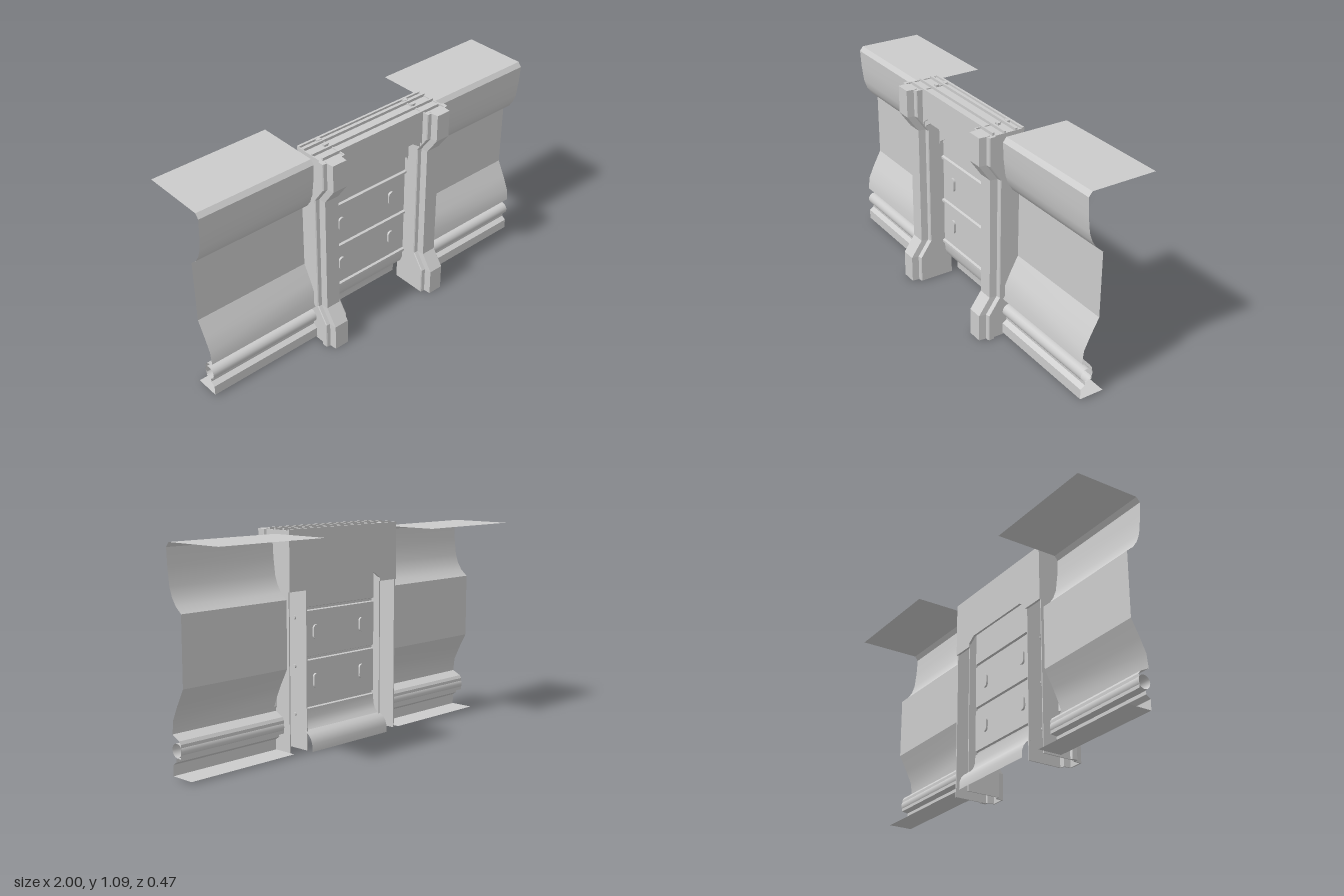
import * as THREE from 'three';
import { toCreasedNormals } from 'three/addons/utils/BufferGeometryUtils.js';

const metal = new THREE.MeshStandardMaterial({ color: 0xcccccc, side: THREE.DoubleSide });

export function createModel() {
  const root = new THREE.Group();

  function add(name, geometry, x = 0, y = 0, z = 0) {
    const mesh = new THREE.Mesh(geometry, metal);
    mesh.name = name;
    mesh.position.set(x, y, z);
    root.add(mesh);
    return mesh;
  }

  // Folded sheet: a [z, y] profile swept from x0 to x1
  function sheet(profile, x0, x1) {
    const pos = [];
    for (let i = 0; i < profile.length - 1; i++) {
      const [za, ya] = profile[i], [zb, yb] = profile[i + 1];
      pos.push(x0, ya, za, x0, yb, zb, x1, yb, zb);
      pos.push(x0, ya, za, x1, yb, zb, x1, ya, za);
    }
    const g = new THREE.BufferGeometry();
    g.setAttribute('position', new THREE.Float32BufferAttribute(pos, 3));
    g.computeVertexNormals();
    return toCreasedNormals(g, 0.45);
  }

  const toShape = pts => new THREE.Shape(pts.map(([x, y]) => new THREE.Vector2(x, y)));
  const plate = (pts, depth) =>
    new THREE.ExtrudeGeometry(toShape(pts), { depth, bevelEnabled: false });

  // Header plate with a chamfered opening in its lower edge
  const arch = (w, top, bottom, open, half) => [
    [-w, top], [-w, bottom], [-half, bottom], [-half, open - 0.03], [-half + 0.045, open],
    [half - 0.045, open], [half, open - 0.03], [half, bottom], [w, bottom], [w, top],
  ];

  // Side wall panels
  const wallProfile = [
    [-0.235, 1.06], [0.1, 1.06], [0.118, 1.037], [0.113, 0.95], [0.102, 0.865],
    [0.086, 0.82], [0.062, 0.784], [0.025, 0.752], [0.025, 0.42], [0.07, 0.335],
    [0.1, 0.27], [0.108, 0.203], [0.06, 0.18], [0.05, 0.165], [0.05, 0.1],
    [0.085, 0.095], [0.085, 0.078], [0.108, 0.062], [0.108, 0.01], [-0.02, 0.01],
  ];
  for (const s of [-1, 1]) {
    add('wallPanel', sheet(wallProfile, s * 0.377, s));
    const tube = new THREE.CylinderGeometry(0.033, 0.033, 0.62, 20, 1, true);
    add('wallTube', tube.rotateZ(Math.PI / 2), s * 0.69, 0.133, 0.078);
  }

  // Pillars: channels open at the back, cranked forward at foot and head
  const levels = [[0, 0], [0.14, 0], [0.225, -0.06], [0.855, -0.06], [0.94, 0], [1.08, 0]];
  const section = [
    [0.377, 0.01], [0.377, 0.16], [0.388, 0.165], [0.388, 0.192], [0.384, 0.196],
    [0.366, 0.198], [0.362, 0.235], [0.284, 0.235], [0.28, 0.198], [0.261, 0.196],
    [0.257, 0.192], [0.257, 0.01], [0.263, 0.01], [0.263, 0.188], [0.286, 0.192],
    [0.29, 0.228], [0.356, 0.228], [0.36, 0.192], [0.371, 0.188], [0.371, 0.01],
  ];
  for (const s of [-1, 1]) {
    const shape = toShape(section.map(([x, z]) => [s * x, -z]));
    const g = new THREE.ExtrudeGeometry(shape, { depth: 5, steps: 5, bevelEnabled: false });
    g.rotateX(-Math.PI / 2);
    const p = g.attributes.position;
    for (let i = 0; i < p.count; i++) {
      const [y, shift] = levels[Math.round(p.getY(i))];
      const z = p.getZ(i);
      p.setXYZ(i, p.getX(i), y, z > 0.05 ? z + shift : z);
    }
    g.computeVertexNormals();
    add('pillar', g);

    // Head cap
    add('pillarCap', new THREE.BoxGeometry(0.076, 0.006, 0.055), s * 0.323, 1.077, 0.206);
    add('pillarCapBase', new THREE.BoxGeometry(0.114, 0.006, 0.04), s * 0.317, 1.07, 0.172);

    // Bolts inside the channel
    for (const y of [0.17, 0.41, 0.65]) {
      const bolt = new THREE.CylinderGeometry(0.01, 0.01, 0.008, 10).rotateZ(Math.PI / 2);
      add('channelBolt', bolt, s * 0.267, y, 0.09);
    }
  }

  // Header box between and behind the pillar heads
  add('headerFront', plate(arch(0.36, 1.088, 0.9, 0.94, 0.255), 0.01), 0, 0, 0.153);
  add('headerFrontLip', plate(arch(0.26, 1.0, 0.88, 0.917, 0.252), 0.01), 0, 0, 0.142);
  add('headerBack', plate(arch(0.377, 1.085, 0.79, 0.838, 0.255), 0.012), 0, 0, 0.003);
  add('headerBackLip', plate(arch(0.26, 0.9, 0.77, 0.812, 0.252), 0.012), 0, 0, 0.06);
  add('headerSoffit', sheet([[0.065, 0.84], [0.072, 0.92], [0.142, 0.94]], -0.255, 0.255));
  add('headerTop', new THREE.BoxGeometry(0.75, 0.01, 0.15), 0, 1.07, 0.085);
  for (const z of [0.045, 0.105]) {
    add('headerRib', new THREE.BoxGeometry(0.75, 0.02, 0.01), 0, 1.079, z);
  }
  for (const s of [-1, 1]) {
    for (const z of [0.025, 0.075]) {
      const stud = new THREE.BoxGeometry(0.025, 0.014, 0.016);
      add('headerStud', stud, s * 0.27, 1.079, z);
    }
  }

  // Centre panel with horizontal beads and a foot that sweeps backward
  const panelProfile = [[0.05, 0.9]];
  for (const y of [0.69, 0.445, 0.205]) {
    panelProfile.push([0.05, y + 0.01], [0.062, y + 0.006], [0.062, y - 0.006], [0.05, y - 0.01]);
  }
  panelProfile.push([0.047, 0.15], [0.036, 0.12], [0.018, 0.1]);
  add('centrePanel', sheet(panelProfile, -0.257, 0.257));
  const apron = [[0.018, 0.1], [-0.008, 0.085], [-0.025, 0.065], [-0.034, 0.04], [-0.035, 0.002]];
  add('apron', sheet(apron, -0.27, 0.27));

  // Rounded slot covers, raised on both faces
  const slot = new THREE.Shape();
  slot.absarc(0, 0.019, 0.018, 0, Math.PI);
  slot.absarc(0, -0.019, 0.018, Math.PI, Math.PI * 2);
  slot.closePath();
  const slotGeometry = new THREE.ExtrudeGeometry(slot, {
    depth: 0.02, bevelEnabled: false, curveSegments: 6,
  });
  for (const x of [-0.163, 0.163]) {
    for (const y of [0.33, 0.573]) add('slotCover', slotGeometry, x, y, 0.04);
  }

  return root;
}
